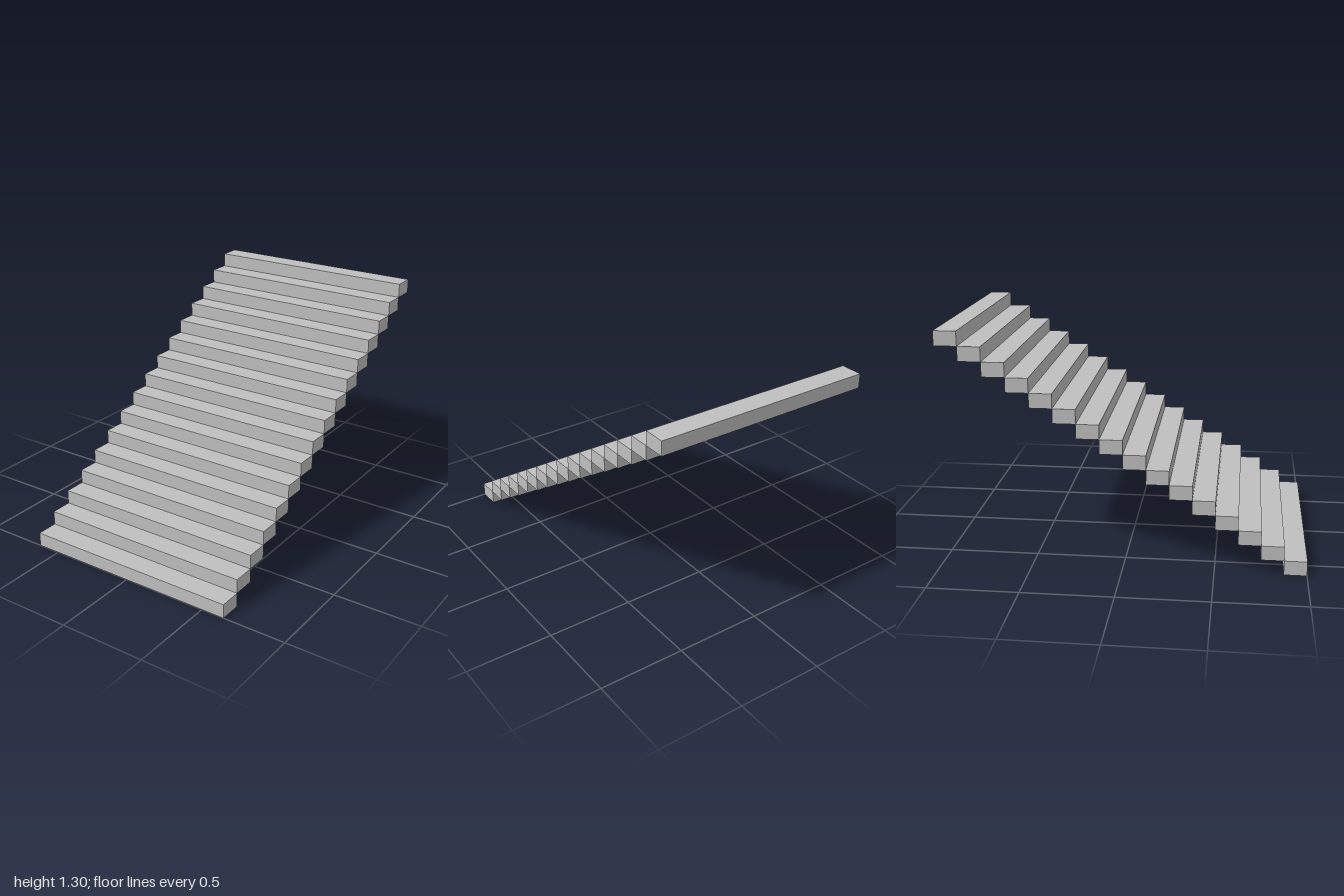
import * as THREE from 'three';

const STEPS = 16;
const WIDTH = 1.27;
const RISE = 1.3 / STEPS;
const RUN = 2 / STEPS;

export function createModel() {
  const model = new THREE.Group();
  model.name = 'staircase';
  const grey = new THREE.MeshStandardMaterial({ color: 0xbfbfbf });
  grey.name = 'light grey';

  // Solid block steps, climbing from the front to the back, touching along their edges
  const block = new THREE.BoxGeometry(WIDTH, RISE, RUN);
  for (let i = 0; i < STEPS; i++) {
    const step = new THREE.Mesh(block, grey);
    step.name = `step${i + 1}`;
    step.position.set(0, (i + 0.5) * RISE, 1 - (i + 0.5) * RUN);
    model.add(step);
  }
  return model;
}
